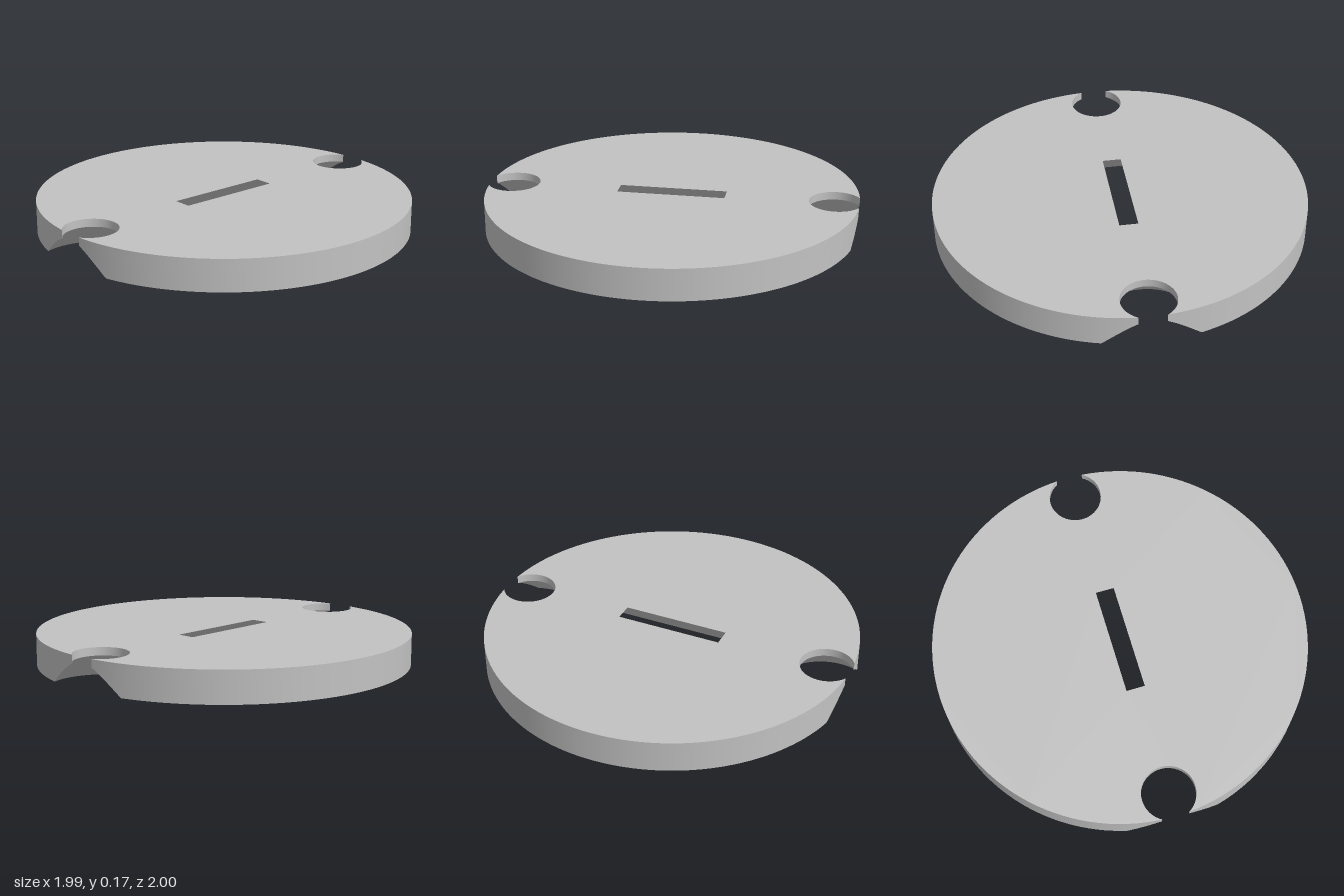
import * as THREE from 'three';

const HEIGHT = 0.168, LAND = 0.125;          // disc thickness, start of straight notch wall
const NOTCH_X = 0.875, R_TOP = 0.142, R_BASE = 0.264;
const SLOT_TOP = [0.29, 0.05], SLOT_BASE = [0.458, 0.218];

const notchRadius = (y) => R_BASE + (R_TOP - R_BASE) * Math.min(y / LAND, 1);

// points [x, z] on an arc
function arc(cx, r, from, to, n) {
  return Array.from({ length: n + 1 }, (_, i) => {
    const a = from + (to - from) * i / n;
    return [cx + r * Math.cos(a), r * Math.sin(a)];
  });
}

// angle on the rim where a notch of radius r cuts it
const cutAngle = (r) => Math.acos((1 + NOTCH_X ** 2 - r * r) / (2 * NOTCH_X));

function rimArc(y) {
  const t = cutAngle(notchRadius(y));
  return arc(0, 1, t, Math.PI - t, 64);
}

function notchArc(y) {
  const r = notchRadius(y), t = cutAngle(r);
  const p = Math.atan2(Math.sin(t), Math.cos(t) - NOTCH_X);
  return arc(NOTCH_X, r, 2 * Math.PI - p, p, 40);
}

// wall through rows of [x, z] points at rising heights
function loft(heights, rowAt) {
  const pos = [], index = [];
  let n = 0;
  heights.forEach((y, j) => {
    const row = rowAt(y);
    n = row.length;
    row.forEach(([x, z]) => pos.push(x, y, z));
    if (j === 0) return;
    for (let i = 0; i < n - 1; i++) {
      const a = (j - 1) * n + i, b = a + n;
      index.push(a, b, a + 1, a + 1, b, b + 1);
    }
  });
  const g = new THREE.BufferGeometry();
  g.setAttribute('position', new THREE.Float32BufferAttribute(pos, 3));
  g.setIndex(index);
  g.computeVertexNormals();
  return g;
}

const slotCorners = ([w, d]) => [[w, d], [w, -d], [-w, -d], [-w, d]];

// flat face with notched outline and slot opening
function cap(y, slot) {
  const half = [...notchArc(y), ...rimArc(y).slice(1, -1)];
  const outline = [...half, ...half.map(([x, z]) => [-x, -z])];
  const toVec = ([x, z]) => new THREE.Vector2(x, z);
  const shape = new THREE.Shape(outline.map(toVec));
  shape.holes.push(new THREE.Path(slotCorners(slot).map(toVec)));
  return new THREE.ShapeGeometry(shape);
}

export function createModel() {
  const group = new THREE.Group();
  const grey = new THREE.MeshStandardMaterial({ color: 0xc2c2c2 });
  grey.name = 'plain grey';
  const add = (name, geometry, turn = 0) => {
    const mesh = new THREE.Mesh(geometry, grey);
    mesh.name = name;
    mesh.rotation.y = turn;
    group.add(mesh);
  };

  // top and bottom faces
  add('topFace', cap(HEIGHT, SLOT_TOP).rotateX(-Math.PI / 2).translate(0, HEIGHT, 0));
  add('bottomFace', cap(0, SLOT_BASE).rotateX(Math.PI / 2));

  // rim halves and countersunk edge notches, repeated by a half turn
  const coneLevels = Array.from({ length: 11 }, (_, i) => LAND * i / 10);
  const rim = loft([...coneLevels, HEIGHT], rimArc);
  const countersink = loft(coneLevels, notchArc);
  const notchWall = loft([LAND, HEIGHT], notchArc);
  [['front', 'left', 0], ['back', 'right', Math.PI]].forEach(([end, side, turn]) => {
    add(end + 'Rim', rim, turn);
    add(side + 'NotchCountersink', countersink, turn);
    add(side + 'NotchWall', notchWall, turn);
  });

  // four sloping walls of the central slot
  for (let i = 0; i < 4; i++) {
    add('slotWall' + (i + 1), loft([0, HEIGHT], (y) => {
      const c = slotCorners(y === 0 ? SLOT_BASE : SLOT_TOP);
      return [c[i], c[(i + 1) % 4]];
    }));
  }
  return group;
}
